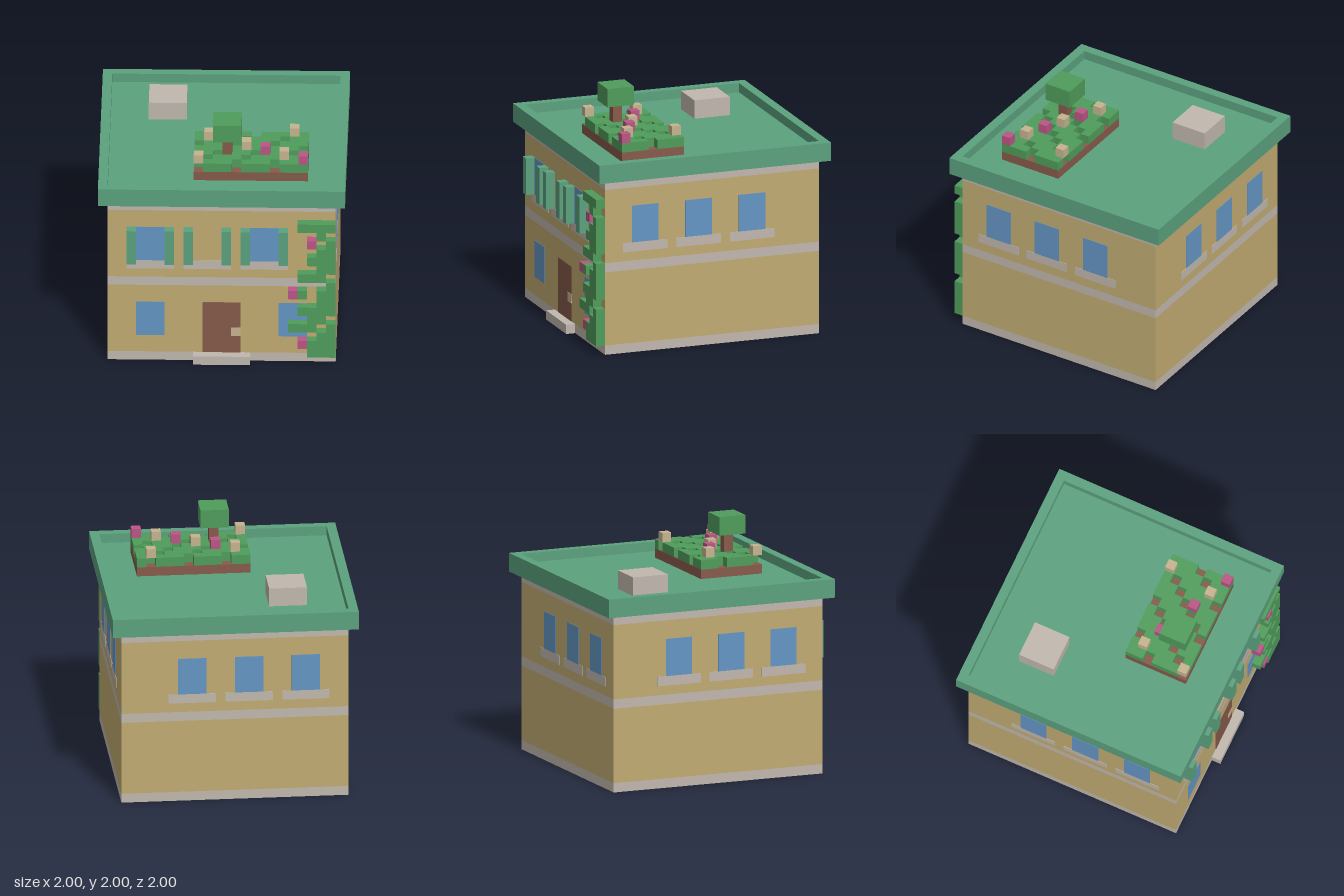
import * as THREE from 'three';
import { mergeGeometries } from 'three/addons/utils/BufferGeometryUtils.js';

const U = 1 / 13; // one block; all sizes below are in blocks

function makeMaterials() {
  const colours = {
    wall: 0xc1ab72, stone: 0xc1b8ae, roofGreen: 0x5ba17e, leaf: 0x4f9c5b, wood: 0x865a4a,
    glass: 0x6495c4, pinkPetal: 0xbb5585, creamPetal: 0xc5b48f,
  };
  const mats = {};
  for (const [name, color] of Object.entries(colours)) {
    mats[name] = new THREE.MeshStandardMaterial({ color });
    mats[name].name = name;
  }
  return mats;
}

// Block geometry from min and max corners
function block(x0, x1, y0, y1, z0, z1) {
  return new THREE.BoxGeometry((x1 - x0) * U, (y1 - y0) * U, (z1 - z0) * U)
    .translate((x0 + x1) / 2 * U, (y0 + y1) / 2 * U, (z0 + z1) / 2 * U);
}

export function createModel() {
  const root = new THREE.Group();
  root.name = 'house';
  const m = makeMaterials();

  const add = (name, mat, ...blocks) => {
    const geos = blocks.map((b) => block(...b));
    const mesh = new THREE.Mesh(geos.length > 1 ? mergeGeometries(geos) : geos[0], mat);
    mesh.name = name;
    root.add(mesh);
    return mesh;
  };

  // Thin plate on one face of the house; a0..a1 runs along x (front, back) or z (sides)
  const plate = (name, mat, face, a0, a1, y0, y1, t = 0.05) => {
    const d0 = 12, d1 = 12 + t;
    const box = {
      front: [a0, a1, y0, y1, d0, d1],
      back: [a0, a1, y0, y1, -d1, -d0],
      left: [d0, d1, y0, y1, a0, a1],
      right: [-d1, -d0, y0, y1, a0, a1],
    }[face];
    return add(name, mat, box);
  };

  // Storeys with stone bands
  const layer = (name, mat, y0, y1) => add(name, mat, [-12, 12, y0, y1, -12, 12]);
  layer('plinth', m.stone, 0, 1);
  layer('groundFloorWall', m.wall, 1, 9);
  layer('middleBand', m.stone, 9, 10);
  layer('upperFloorWall', m.wall, 10, 18);
  layer('topBand', m.stone, 18, 19);

  // Roof slab and parapet
  add('roofSlab', m.roofGreen, [-13, 13, 19, 20, -13, 13]);
  add('parapet', m.roofGreen,
    [-13, 13, 20, 21, 12, 13], [-13, 13, 20, 21, -13, -12],
    [-13, -12, 20, 21, -12, 12], [12, 13, 20, 21, -12, 12]);
  add('roofHatch', m.stone, [-8, -4, 20, 22, -8, -4]);

  // Upper windows and sills on all sides
  const starts = { front: [-9, -3, 3], back: [-9, -3, 3], left: [-6, 0, 6], right: [-6, 0, 6] };
  for (const [face, list] of Object.entries(starts)) {
    for (const a of list) {
      plate('windowSill', m.stone, face, a - 1, a + 4, 11, 12);
      const shuttered = face === 'front';
      // the middle front opening is blind
      if (!(shuttered && a === -3)) plate('upperWindow', m.glass, face, a, a + 3, 12, 16);
      if (shuttered) {
        add('shutters', m.roofGreen, [a - 1, a, 12, 16, 12, 13], [a + 3, a + 4, 12, 16, 12, 13]);
      }
    }
  }

  // Ground floor front
  plate('lowerWindow', m.glass, 'front', -9, -6, 3, 7);
  plate('lowerWindow', m.glass, 'front', 6, 9, 3, 7);
  plate('door', m.wood, 'front', -2, 2, 1, 7);
  plate('doorHandle', m.creamPetal, 'front', 1, 2, 3, 4, 0.1);
  add('doorStep', m.stone, [-3, 3, 0, 1, 12, 13]);

  // Splits a row of cells into runs, leaving gaps where isHole is true
  const runs = (a0, a1, isHole) => {
    const out = [];
    let start = a0;
    for (let a = a0; a <= a1; a++) {
      if (a === a1 || isHole(a)) {
        if (a > start) out.push([start, a]);
        start = a + 1;
      }
    }
    return out;
  };
  const mod = (n, k) => ((n % k) + k) % k;

  // Climbing vine: left end of each row from the bottom up, with diagonal gaps
  const vineStarts = [9, 9, 10, 7, 9, 8, 10, 8, 11, 8, 10, 9, 10, 11, 10, 8];
  const vine = vineStarts.flatMap((x, i) =>
    runs(x, 12, (c) => mod(c - (i + 1), 5) === 1).map(([p, q]) => [p, q, i + 1, i + 2, 12, 13]));
  add('vine', m.leaf, ...vine);
  add('vineFlowers', m.pinkPetal,
    ...[[8, 2], [7, 8], [9, 14]].map(([x, y]) => [x, x + 1, y, y + 1, 12, 13]));

  // Roof garden: soil bed, planting with diagonal gaps, flowers
  add('planterBed', m.wood, [-3, 9, 20, 21, 2, 9]);
  const planting = [];
  for (let z = 2; z < 9; z++) {
    for (const [p, q] of runs(-3, 9, (x) => mod(x + z, 4) === 1)) planting.push([p, q, 21, 22, z, z + 1]);
  }
  add('planting', m.leaf, ...planting);
  const flower = ([x, z]) => [x, x + 1, 22, 23, z, z + 1];
  add('pinkFlowers', m.pinkPetal, ...[[0, 4], [4, 6], [8, 8]].map(flower));
  add('creamFlowers', m.creamPetal, ...[[7, 2], [-2, 3], [2, 5], [6, 7], [-3, 8]].map(flower));

  // Small tree
  add('treeTrunk', m.wood, [0, 1, 22, 24, 6, 7]);
  add('treeCrown', m.leaf, [-1, 2, 24, 26, 5, 8]);

  return root;
}
